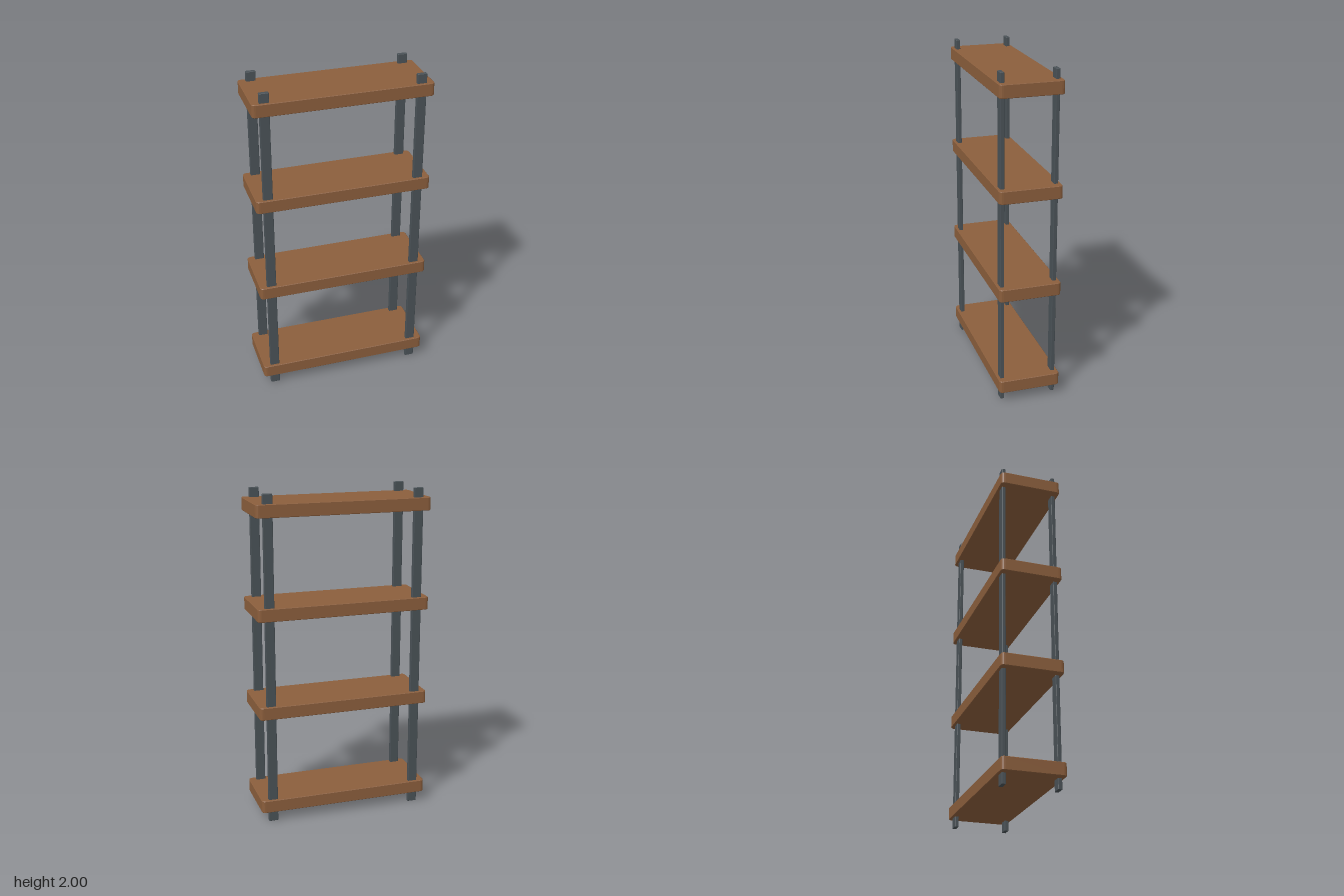
import * as THREE from 'three';

const WIDTH = 1.06, DEPTH = 0.374, THICKNESS = 0.077;
const SHELF_CENTRES = [0.103, 0.704, 1.304, 1.905];

// Slab outline with small rounded vertical corners, extruded upward
function slabGeometry(width, depth, height, radius, bevel) {
  const x = width / 2 - bevel, y = depth / 2 - bevel, r = radius;
  const s = new THREE.Shape();
  s.moveTo(-x + r, -y);
  s.lineTo(x - r, -y);
  s.quadraticCurveTo(x, -y, x, -y + r);
  s.lineTo(x, y - r);
  s.quadraticCurveTo(x, y, x - r, y);
  s.lineTo(-x + r, y);
  s.quadraticCurveTo(-x, y, -x, y - r);
  s.lineTo(-x, -y + r);
  s.quadraticCurveTo(-x, -y, -x + r, -y);
  const geometry = new THREE.ExtrudeGeometry(s, {
    depth: height - 2 * bevel, curveSegments: 4,
    bevelEnabled: true, bevelThickness: bevel, bevelSize: bevel, bevelSegments: 1,
  });
  geometry.translate(0, 0, -height / 2 + bevel);
  geometry.rotateX(-Math.PI / 2);
  return geometry;
}

export function createModel() {
  const wood = new THREE.MeshStandardMaterial({ name: 'brown wood', color: 0x8b5e3c });
  const metal = new THREE.MeshStandardMaterial({ name: 'dark grey metal', color: 0x4a5257 });
  const model = new THREE.Group();
  model.name = 'shelvingUnit';

  // Four evenly spaced shelves
  const shelfGeometry = slabGeometry(WIDTH, DEPTH, THICKNESS, 0.02, 0.003);
  SHELF_CENTRES.forEach((y, i) => {
    const shelf = new THREE.Mesh(shelfGeometry, wood);
    shelf.name = `shelf${i + 1}`;
    shelf.position.y = y;
    model.add(shelf);
  });

  // Four flat upright posts passing through the shelves
  const postGeometry = slabGeometry(0.057, 0.024, 2, 0.002, 0.002);
  for (const [side, x] of [['Left', 0.457], ['Right', -0.457]]) {
    for (const [end, z] of [['front', 0.159], ['back', -0.159]]) {
      const post = new THREE.Mesh(postGeometry, metal);
      post.name = `${end}${side}Post`;
      post.position.set(x, 1, z);
      model.add(post);
    }
  }
  return model;
}
